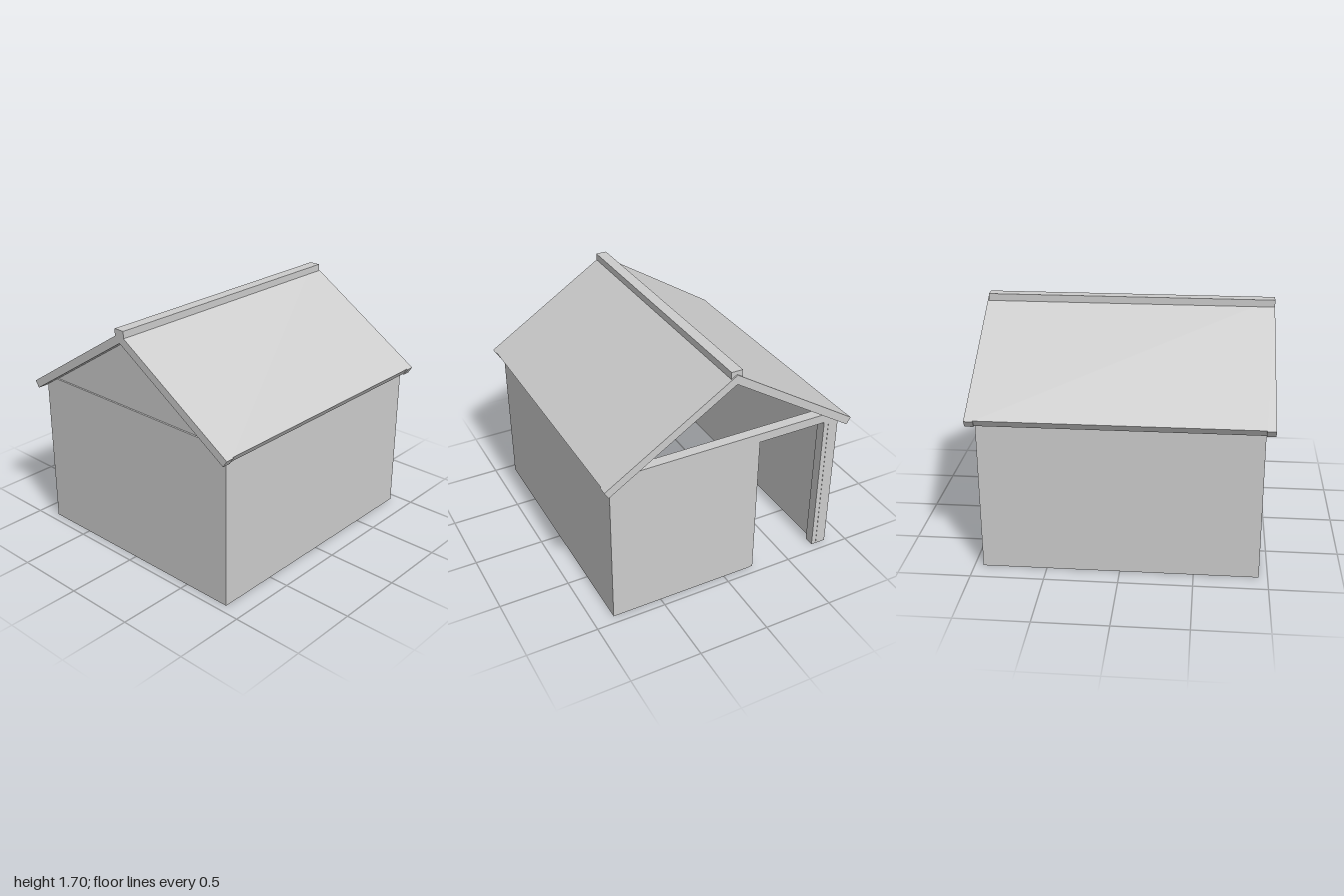
import * as THREE from 'three';

const mat = new THREE.MeshStandardMaterial({ color: 0xcccccc, flatShading: true });

export function createModel() {
  const group = new THREE.Group();
  const add = (name, geo) => {
    const mesh = new THREE.Mesh(geo, mat);
    mesh.name = name;
    group.add(mesh);
  };
  // Box given by its limits on each axis
  const box = (name, x0, x1, y0, y1, z0, z1) =>
    add(name, new THREE.BoxGeometry(x1 - x0, y1 - y0, z1 - z0)
      .translate((x0 + x1) / 2, (y0 + y1) / 2, (z0 + z1) / 2));
  // Outline of [z, y] points pushed along x from x0 to x1
  const slab = (name, x0, x1, pts) => {
    const shape = new THREE.Shape(pts.map(([z, y]) => new THREE.Vector2(-z, y)));
    const geo = new THREE.ExtrudeGeometry(shape, { depth: x1 - x0, bevelEnabled: false });
    add(name, geo.rotateY(Math.PI / 2).translate(x0, 0, 0));
  };

  const W = 0.94, D = 0.855, T = 0.075, H = 1.07;
  const slope = 0.635, apex = 1.61;
  const under = (z) => apex - slope * Math.abs(z);

  // Long walls, their tops cut to the roof slope
  for (const s of [1, -1]) {
    const i = D - T;
    slab(s > 0 ? 'frontWall' : 'backWall', -W, W,
      [[s * D, 0], [s * D, under(D)], [s * i, under(i)], [s * i, 0]]);
  }

  // Closed end wall and door-side wall
  box('rightEndWall', -W, -W + T, 0, H, -D + T, D - T);
  box('doorSideWall', W - T, W, 0, H, -0.205, D - T);

  // Door jambs
  box('doorJambFront', W - T, W - 0.002, 0, H, -0.235, -0.205);
  box('doorJambBack', W - T, W - 0.002, 0, H, -D + T, -0.745);

  // Tie beams, their ends cut to the roof slope
  const beamTop = 1.135, zt = (apex - beamTop) / slope;
  const beam = [[D - 0.003, H], [zt, beamTop], [-zt, beamTop], [-D + 0.003, H]];
  slab('doorTieBeam', W - T, W, beam);
  slab('rightTieBeam', -W, -W + T, beam);

  // Gable panel over the closed end; the door end stays open
  slab('rightGable', -W + 0.012, -W + T, [[zt, beamTop], [0, apex], [-zt, beamTop]]);

  // Roof slopes, with slightly longer boards at both ends
  const nz = 0.03, ny = 0.047;
  for (const s of [1, -1]) {
    const side = s > 0 ? 'front' : 'back';
    const outline = (ze) => [
      [0, apex], [s * ze, under(ze)],
      [s * (ze + nz), under(ze) + ny], [0, apex + 0.066],
    ];
    slab(side + 'Roof', -0.94, 0.94, outline(0.879));
    slab(side + 'BargeBoardRight', -1, -0.94, outline(0.885));
    slab(side + 'BargeBoardLeft', 0.94, 1, outline(0.885));
  }

  // Ridge cap
  box('ridgeCap', -1, 0.99, 1.64, 1.7, -0.04, 0.04);

  return group;
}
